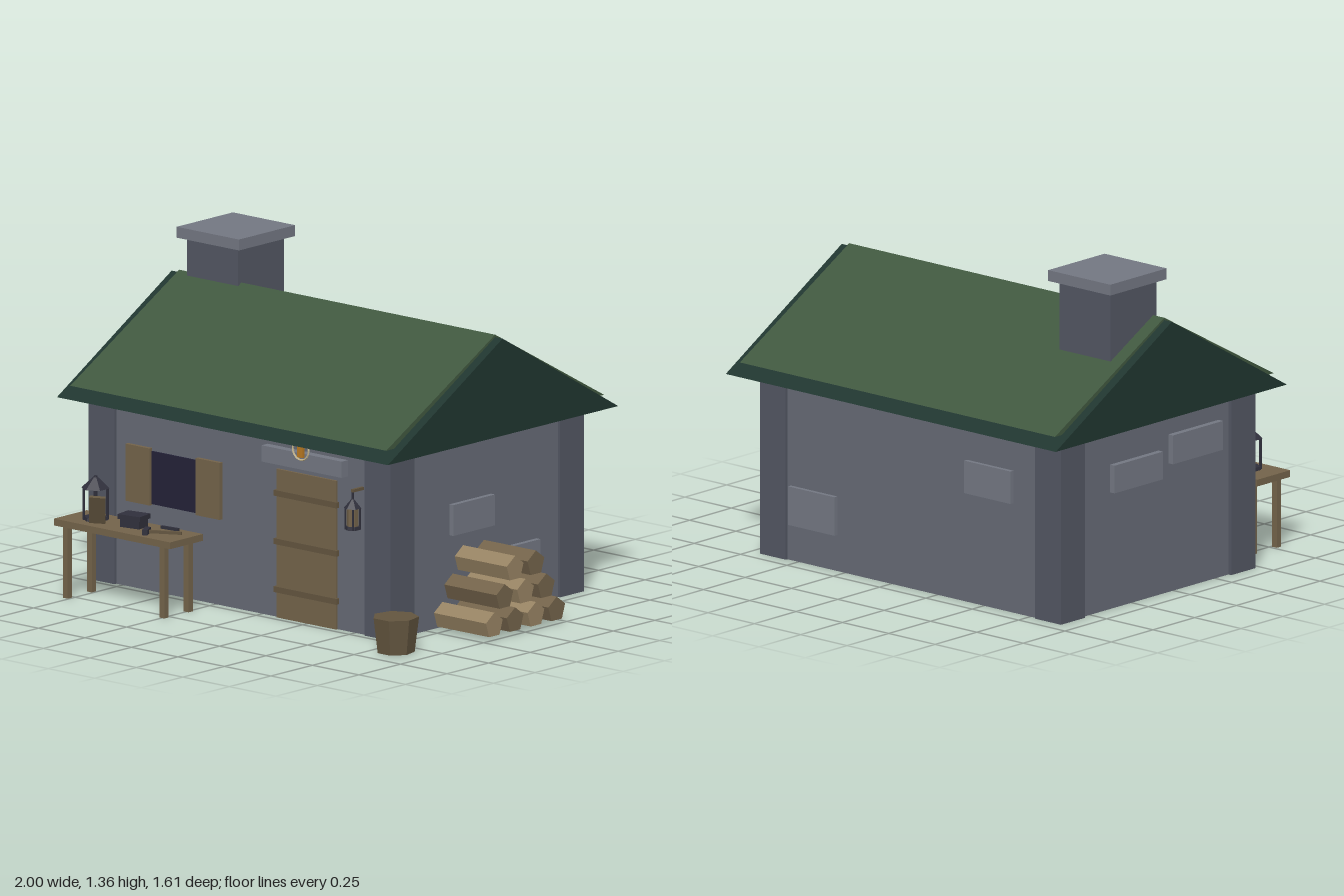
import * as THREE from 'three';

const mat = (color, double) => new THREE.MeshStandardMaterial({
  color, flatShading: true, side: double ? THREE.DoubleSide : THREE.FrontSide });
const M = {
  wall: mat(0x666a75), corner: mat(0x525662), stone: mat(0x737782), green: mat(0x40573f),
  trim: mat(0x20352f), wood: mat(0x73634a), darkWood: mat(0x63553f), lightWood: mat(0x978363),
  glass: mat(0x242238), iron: mat(0x30303c), brass: mat(0xb87820), rope: mat(0xc8b890),
};

export function createModel() {
  const root = new THREE.Group();
  root.name = 'cottage';

  const add = (name, geo, m, x = 0, y = 0, z = 0, parent = root) => {
    const mesh = new THREE.Mesh(geo, m);
    mesh.name = name;
    mesh.position.set(x, y, z);
    parent.add(mesh);
    return mesh;
  };
  // box given by its limits on each axis
  const box = (name, m, x0, x1, y0, y1, z0, z1, parent = root) =>
    add(name, new THREE.BoxGeometry(x1 - x0, y1 - y0, z1 - z0), m,
      (x0 + x1) / 2, (y0 + y1) / 2, (z0 + z1) / 2, parent);
  // triangular prism running along x
  const prism = (name, m, x0, x1, y0, y1, z0, z1, ridge) => {
    const s = new THREE.Shape([[z1, y0], [ridge, y1], [z0, y0]].map(p => new THREE.Vector2(...p)));
    const mesh = add(name, new THREE.ExtrudeGeometry(s, { depth: x1 - x0, bevelEnabled: false }), m, x1);
    mesh.rotation.y = -Math.PI / 2;
    return mesh;
  };

  // walls and corner piers
  box('walls', M.wall, -0.91, 0.69, 0, 0.757, -0.68, 0.463);
  for (const x of [-0.925, 0.56])
    for (const z of [-0.69, 0.33])
      box('cornerPier', M.corner, x, x + 0.14, 0, 0.757, z, z + 0.145);

  // roof: dark body with a green covering
  prism('roofBody', M.trim, -1, 0.78, 0.755, 1.155, -0.805, 0.58, -0.11);
  prism('roofCovering', M.green, -0.96, 0.74, 0.802, 1.165, -0.765, 0.545, -0.11);

  // chimney
  box('chimney', M.corner, -0.9, -0.625, 0, 1.31, -0.365, -0.09);
  box('chimneyCap', M.stone, -0.93, -0.595, 1.31, 1.355, -0.4, -0.062);

  // raised stones in the walls
  for (const s of [
    [0.68, 0.712, 0.37, 0.497, -0.14, 0.11], [0.68, 0.712, 0.115, 0.265, -0.415, -0.255],
    [0.29, 0.54, 0.15, 0.31, -0.698, -0.67], [-0.66, -0.41, 0.455, 0.59, -0.698, -0.67],
    [-0.935, -0.9, 0.485, 0.6, -0.38, -0.09], [-0.935, -0.9, 0.535, 0.655, -0.03, 0.27],
  ]) box('wallStone', M.stone, ...s);

  // window and shutters
  box('window', M.glass, -0.59, -0.345, 0.36, 0.578, 0.45, 0.47);
  for (const x of [-0.72, -0.343]) box('shutter', M.wood, x, x + 0.128, 0.355, 0.59, 0.45, 0.48);

  // door, straps and lintel
  box('door', M.wood, 0.085, 0.405, 0, 0.612, 0.45, 0.473);
  for (const y of [0.105, 0.303, 0.502]) box('doorStrap', M.darkWood, 0.078, 0.415, y, y + 0.024, 0.465, 0.482);
  box('lintel', M.stone, 0.03, 0.46, 0.638, 0.705, 0.45, 0.5);

  // hanging ornament over the door
  add('ornamentRing', new THREE.TorusGeometry(0.043, 0.004, 5, 20), M.rope, 0.245, 0.722, 0.506);
  box('ornamentTag', M.brass, 0.231, 0.259, 0.69, 0.757, 0.5, 0.512);

  // lantern with a four-post frame and hexagonal roof; h is body height
  const lantern = (name, x, y, z, r, h, roofH, core) => {
    const g = new THREE.Group();
    g.name = name;
    g.position.set(x, y, z);
    root.add(g);
    add('lanternBase', new THREE.CylinderGeometry(r * 0.85, r * 0.9, 0.014, 6), M.iron, 0, 0.007, 0, g);
    const p = r * 0.58, t = r * 0.07;
    for (const sx of [-p, p]) for (const sz of [-p, p])
      box('lanternPost', M.iron, sx - t, sx + t, 0, h, sz - t, sz + t, g);
    if (core) add('lanternGlass', new THREE.CylinderGeometry(r * 0.68, r * 0.68, h, 6), M.wood, 0, h / 2, 0, g);
    add('lanternRoof', new THREE.CylinderGeometry(r * 0.18, r, roofH, 6), M.iron, 0, h + roofH / 2, 0, g);
    add('lanternKnob', new THREE.CylinderGeometry(r * 0.12, r * 0.15, 0.012, 6), M.iron, 0, h + roofH, 0, g);
  };
  lantern('tableLantern', -0.685, 0.322, 0.7, 0.058, 0.13, 0.045, false);
  lantern('wallLantern', 0.54, 0.443, 0.523, 0.036, 0.088, 0.036, true);
  box('lanternBracket', M.darkWood, 0.534, 0.546, 0.596, 0.608, 0.46, 0.526);
  box('lanternHook', M.iron, 0.537, 0.543, 0.57, 0.598, 0.52, 0.526);

  // work table
  box('tableTop', M.wood, -0.82, -0.195, 0.294, 0.322, 0.602, 0.8);
  for (const x of [-0.782, -0.262])
    for (const z of [0.617, 0.762]) box('tableLeg', M.wood, x, x + 0.026, 0, 0.296, z, z + 0.026);

  // leaning panel on the table
  const panel = add('leaningPanel', new THREE.BoxGeometry(0.065, 0.125, 0.014), M.darkWood, -0.62, 0.383, 0.762);
  panel.rotation.set(0.45, 0.55, -0.3);

  // small chest
  const chest = new THREE.Group();
  chest.name = 'chest';
  chest.position.set(-0.487, 0.322, 0.69);
  chest.rotation.y = 0.17;
  root.add(chest);
  box('chestBody', M.iron, -0.045, 0.045, 0, 0.035, -0.033, 0.033, chest);
  box('chestLid', M.iron, -0.053, 0.053, 0.033, 0.053, -0.04, 0.04, chest);

  // hammer and chisel
  const hammer = new THREE.Group();
  hammer.name = 'hammer';
  hammer.position.set(-0.305, 0.332, 0.715);
  hammer.rotation.y = 0.5;
  root.add(hammer);
  box('hammerHandle', M.darkWood, -0.07, 0.075, -0.006, 0.006, -0.006, 0.006, hammer);
  box('hammerHead', M.iron, -0.083, -0.06, -0.01, 0.012, -0.03, 0.03, hammer);
  const chisel = box('chisel', M.iron, -0.385, -0.3, 0.322, 0.334, 0.63, 0.641);
  chisel.rotation.y = 0.1;

  // seven-sided bucket
  add('bucket', new THREE.CylinderGeometry(0.095, 0.077, 0.145, 7), M.darkWood, 0.837, 0.0725, 0.598)
    .rotation.y = Math.PI;

  // stacked five-sided logs, one point upward
  const logGeo = new THREE.CylinderGeometry(0.053, 0.053, 0.28, 5);
  logGeo.rotateY(-Math.PI / 2).rotateZ(Math.PI / 2).translate(0.86, 0, 0);
  const pos = logGeo.attributes.position;
  let top = -1, bottom = 1;
  for (let i = 0; i < pos.count; i++) {
    top = Math.max(top, pos.getY(i));
    bottom = Math.min(bottom, pos.getY(i));
  }
  if (top < -bottom) logGeo.rotateX(Math.PI);
  [4, 3, 2].forEach((n, row) => {
    for (let i = 0; i < n; i++) {
      const light = (i + (row === 1 ? 1 : 0)) % 2 === 0;
      add('log', logGeo, light ? M.lightWood : M.wood, 0, 0.06 + row * 0.106, (n - 1) * 0.0625 - i * 0.125 - 0.002);
    }
  });

  return root;
}
